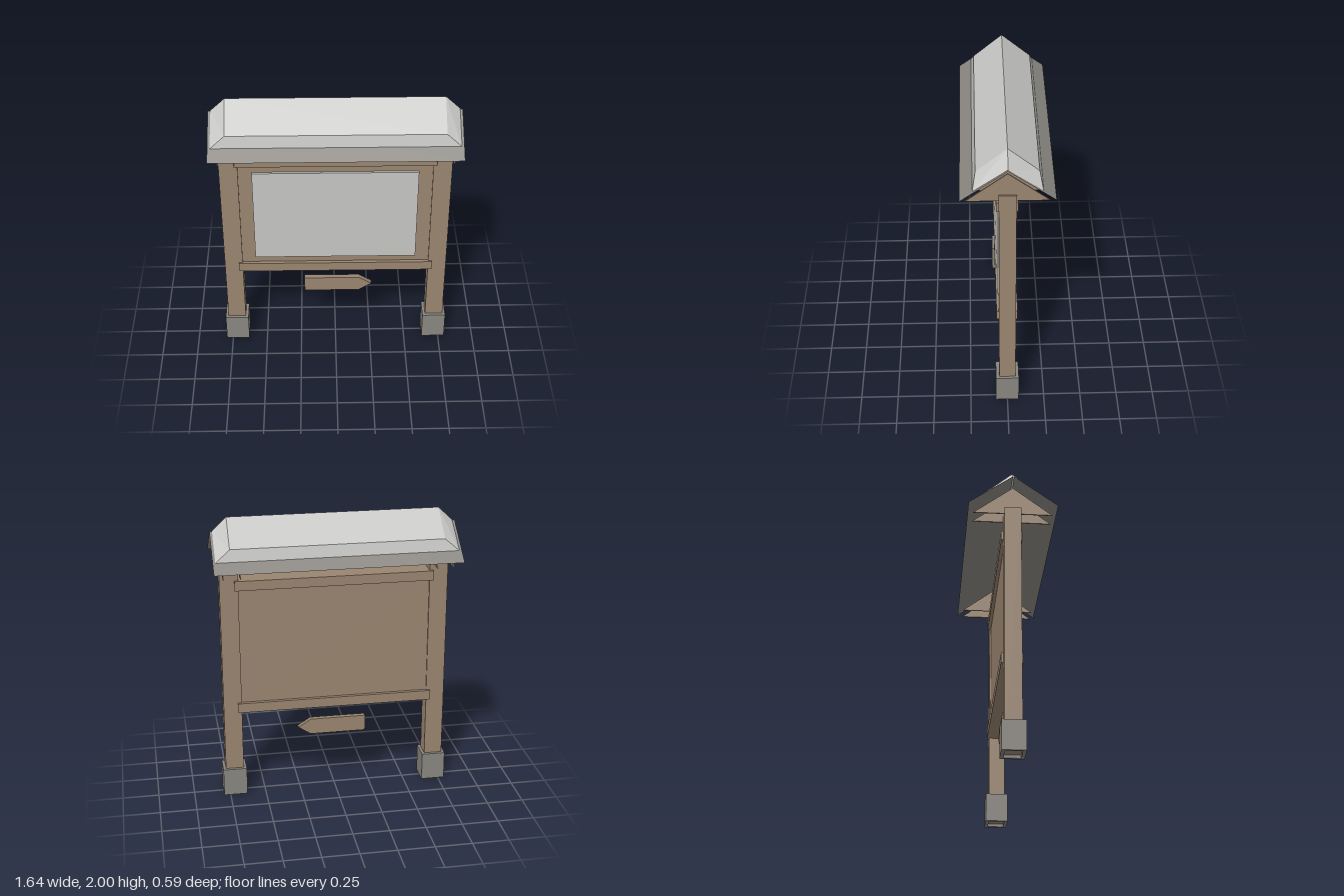
import * as THREE from 'three';

const material = (name, color, extra = {}) => {
  const m = new THREE.MeshStandardMaterial({ color, ...extra });
  m.name = name;
  return m;
};

// Builds a flat-faced surface from quads of [x, y, z] corners
function quadSurface(quads) {
  const positions = [];
  for (const [a, b, c, d] of quads) positions.push(...a, ...b, ...c, ...a, ...c, ...d);
  const g = new THREE.BufferGeometry();
  g.setAttribute('position', new THREE.Float32BufferAttribute(positions, 3));
  g.computeVertexNormals();
  return g;
}

function polygon(points) {
  return new THREE.Shape(points.map(([x, y]) => new THREE.Vector2(x, y)));
}

export function createModel() {
  const group = new THREE.Group();
  const wood = material('wood', 0x9a8570);
  const stone = material('stone grey', 0x898680, { side: THREE.DoubleSide });
  const pale = material('pale grey', 0xc6c6c4, { side: THREE.DoubleSide });

  const add = (name, geometry, mat) => {
    const mesh = new THREE.Mesh(geometry, mat);
    mesh.name = name;
    group.add(mesh);
    return mesh;
  };
  // Box given by its lower and upper limits on each axis
  const box = (name, mat, x0, x1, y0, y1, z0, z1) =>
    add(name, new THREE.BoxGeometry(x1 - x0, y1 - y0, z1 - z0), mat)
      .position.set((x0 + x1) / 2, (y0 + y1) / 2, (z0 + z1) / 2);

  // Posts, footings and gable plates, mirrored
  for (const s of [1, -1]) {
    const side = s > 0 ? 'left' : 'right';
    const cx = s * 0.7125;
    box(side + 'Post', wood, cx - 0.0625, cx + 0.0625, 0.02, 1.7, -0.055, 0.055);

    // Footing sleeve, hollow underneath
    const sleeve = polygon([[-0.082, -0.077], [0.082, -0.077], [0.082, 0.077], [-0.082, 0.077]]);
    sleeve.holes.push(polygon([[-0.062, -0.054], [-0.062, 0.054], [0.062, 0.054], [0.062, -0.054]]));
    const footing = add(side + 'Footing',
      new THREE.ExtrudeGeometry(sleeve, { depth: 0.197, bevelEnabled: false }), stone);
    footing.rotation.x = -Math.PI / 2;
    footing.position.x = cx;

    // Pair of thin triangles carrying the roof
    for (const x of [0.65, 0.76]) {
      const gable = add(side + 'Gable', new THREE.ExtrudeGeometry(
        polygon([[-0.26, 1.657], [0.26, 1.657], [0, 1.855]]),
        { depth: 0.008, bevelEnabled: false }), wood);
      gable.rotation.y = Math.PI / 2;
      gable.position.x = s * x - 0.004;
    }
  }

  // Rails, backing board and notice sheet
  box('topRail', wood, -0.675, 0.675, 1.51, 1.577, -0.07, 0.07);
  box('bottomRail', wood, -0.675, 0.675, 0.625, 0.693, -0.07, 0.07);
  box('board', wood, -0.652, 0.652, 0.68, 1.52, -0.045, 0.045);
  box('noticeSheet', pale, -0.558, 0.556, 0.745, 1.453, 0.044, 0.062);

  // Arrow sign below the board
  const arrow = add('arrowSign', new THREE.ExtrudeGeometry(
    polygon([[-0.22, 0.4], [0.167, 0.4], [0.255, 0.457], [0.167, 0.513], [-0.22, 0.513]]),
    { depth: 0.036, bevelEnabled: false }), wood);
  arrow.position.z = -0.018;

  // Roof sheets and the bevelled cover lying on them
  const roof = [], cover = [];
  for (const sz of [1, -1]) {
    const ridge = (x) => [x, 2.0, 0], eave = (x) => [x, 1.838, sz * 0.195];
    const baseRidge = (x) => [x, 1.91, 0], baseEave = (x) => [x, 1.758, sz * 0.215];
    const roofEave = (x) => [x, 1.698, sz * 0.294];
    const put = (list, quad, flip) => list.push(flip ? quad.reverse() : quad);
    const back = sz < 0;

    put(roof, [[-0.822, 1.908, sz * 0.004], roofEave(-0.822), roofEave(0.822), [0.822, 1.908, sz * 0.004]], back);
    put(cover, [ridge(-0.71), eave(-0.71), eave(0.71), ridge(0.71)], back);
    put(cover, [eave(-0.71), baseEave(-0.805), baseEave(0.805), eave(0.71)], back);
    for (const sx of [1, -1]) {
      put(cover, [ridge(sx * 0.71), eave(sx * 0.71), baseEave(sx * 0.805), baseRidge(sx * 0.805)], sx * sz < 0);
    }
  }
  add('roof', quadSurface(roof), stone);
  add('roofCover', quadSurface(cover), pale);

  return group;
}
